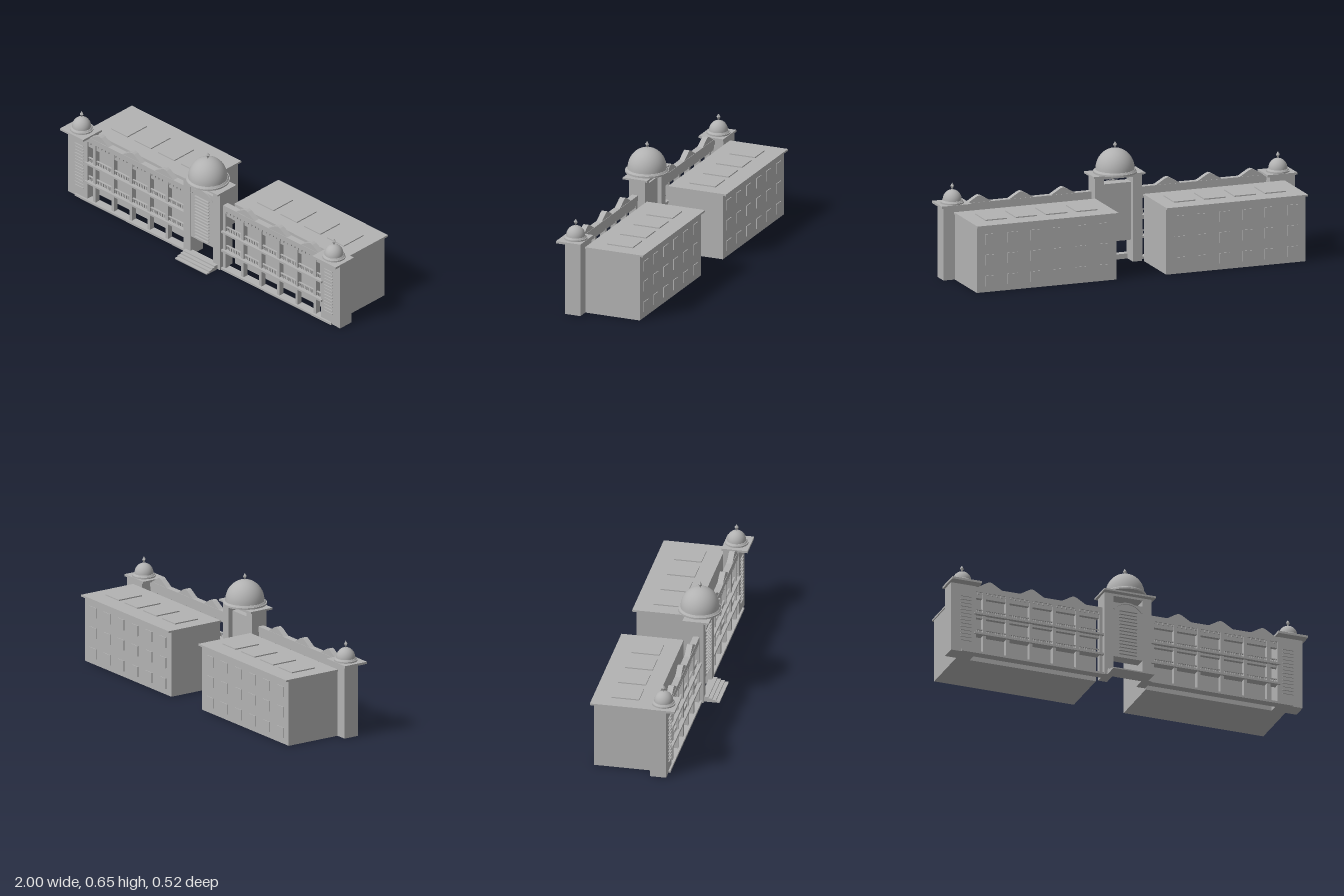
import * as THREE from 'three';

const stone = new THREE.MeshStandardMaterial({ color: 0xb2b2b2 });
stone.name = 'grey stone';

function add(parent, name, geometry) {
  const mesh = new THREE.Mesh(geometry, stone);
  mesh.name = name;
  parent.add(mesh);
  return mesh;
}

// Box given by its limits on each axis
function box(parent, name, x0, x1, y0, y1, z0, z1) {
  const mesh = add(parent, name, new THREE.BoxGeometry(Math.abs(x1 - x0), y1 - y0, z1 - z0));
  mesh.position.set((x0 + x1) / 2, (y0 + y1) / 2, (z0 + z1) / 2);
  return mesh;
}

const lathe = (points, sides) =>
  new THREE.LatheGeometry(points.map(([r, y]) => new THREE.Vector2(r, y)), sides);

// Dome with a stepped ring and a diamond finial
function dome(parent, name, x, y, z, ringR, r, ringH, h) {
  const g = new THREE.Group();
  g.name = name;
  g.position.set(x, y, z);
  parent.add(g);
  const ring = lathe([[0, 0], [ringR, 0], [ringR, ringH * 0.5],
    [ringR - 0.004, ringH * 0.5], [r + 0.002, ringH], [0, ringH]], 40).toNonIndexed();
  ring.computeVertexNormals();
  add(g, 'domeRing', ring);
  const profile = [];
  for (let i = 0; i <= 14; i++) {
    const a = (i / 14) * Math.PI / 2;
    profile.push([r * Math.cos(a), ringH + h * Math.sin(a)]);
  }
  add(g, 'domeShell', lathe(profile, 40));
  const finial = lathe([[0, 0], [0.0115, 0.02], [0, 0.038]], 4).toNonIndexed();
  finial.computeVertexNormals();
  add(g, 'finial', finial).position.y = ringH + h - 0.001;
}

// Rear block with flat roof, skylights and back windows
function rearBlock(parent, s) {
  const g = new THREE.Group();
  g.name = 'rearBlock';
  parent.add(g);
  box(g, 'blockWalls', s * 0.14, s * 0.925, 0, 0.353, -0.239, 0.073);
  box(g, 'roofSlab', s * 0.135, s * 0.93, 0.353, 0.363, -0.26, 0.073);
  for (let i = 0; i < 4; i++) {
    const x = s * (0.275 + i * 0.17);
    box(g, 'skylight', x - 0.06, x + 0.06, 0.363, 0.369, -0.163, -0.015);
  }
  for (const y of [0.032, 0.145, 0.256]) {
    for (let i = 0; i < 6; i++) {
      const x = s * (0.215 + i * 0.127);
      box(g, 'backWindow', x - 0.029, x + 0.029, y, y + 0.056, -0.243, -0.239);
    }
  }
}

// Corner tower with cap, dome and thin front courses
function cornerTower(parent, s) {
  const g = new THREE.Group();
  g.name = 'cornerTower';
  parent.add(g);
  box(g, 'towerShaft', s * 0.848, s * 0.988, 0, 0.388, 0.073, 0.16);
  box(g, 'towerCap', s * 0.832, s, 0.388, 0.4, 0.068, 0.208);
  dome(g, 'towerDome', s * 0.916, 0.4, 0.132, 0.062, 0.05, 0.016, 0.055);
  for (let i = 0; i < 14; i++) {
    const y = 0.065 + i * 0.0195;
    box(g, 'frontCourse', s * 0.875, s * 0.935, y, y + 0.003, 0.16, 0.166);
  }
}

// Open arcade screen: columns, floor ledges, railings and gables
function arcade(parent, s) {
  const g = new THREE.Group();
  g.name = 'arcade';
  parent.add(g);
  const x0 = 0.135, pitch = 0.131;
  box(g, 'baseLedge', s * 0.13, s * 0.93, 0, 0.012, 0.123, 0.17);
  for (const y of [0.112, 0.226]) {
    box(g, 'floorLedge', s * 0.125, s * 0.86, y, y + 0.011, 0.123, 0.17);
  }
  box(g, 'topBeam', s * x0, s * 0.85, 0.338, 0.362, 0.127, 0.15);
  box(g, 'parapet', s * x0, s * 0.85, 0.36, 0.39, 0.123, 0.157);
  for (let i = 0; i <= 5; i++) {
    const x = s * (x0 + 0.009 + i * pitch);
    box(g, 'column', x - 0.009, x + 0.009, 0.012, 0.36, 0.127, 0.157);
  }
  for (let i = 0; i < 6; i++) {
    const a = x0 + 0.018 + i * pitch;
    const b = Math.min(a + pitch - 0.018, 0.848);
    for (const y of [0.123, 0.237]) {
      // Railing and lintel of each upper bay
      box(g, 'handrail', s * a, s * b, y + 0.022, y + 0.026, 0.142, 0.152);
      for (let x = a + 0.008; x < b; x += 0.012) {
        box(g, 'baluster', s * x - 0.002, s * x + 0.002, y, y + 0.022, 0.145, 0.15);
      }
      box(g, 'lintel', s * a, s * b, y + 0.09, y + 0.103, 0.13, 0.15);
    }
  }
  for (let x = x0 + 0.02; x < 0.84; x += 0.026) {
    box(g, 'dentil', s * x - 0.004, s * x + 0.004, 0.348, 0.36, 0.15, 0.157);
  }
  const gable = new THREE.Shape([
    new THREE.Vector2(-0.07, 0), new THREE.Vector2(0.07, 0), new THREE.Vector2(0.015, 0.033),
    new THREE.Vector2(0, 0.038), new THREE.Vector2(-0.015, 0.033)]);
  for (const x of [0.295, 0.53, 0.766]) {
    add(g, 'gable', new THREE.ExtrudeGeometry(gable, { depth: 0.03, bevelEnabled: false }))
      .position.set(s * x, 0.389, 0.125);
  }
}

// Central gate tower with a passage below and an open slot under the cap
function gateTower(parent) {
  const g = new THREE.Group();
  g.name = 'gateTower';
  parent.add(g);
  for (const s of [-1, 1]) {
    box(g, 'gatePier', s * 0.082, s * 0.132, 0, 0.47, 0.085, 0.178);
  }
  box(g, 'gatePanel', -0.082, 0.082, 0.113, 0.425, 0.11, 0.172);
  box(g, 'gateBeam', -0.082, 0.082, 0.457, 0.47, 0.085, 0.178);
  box(g, 'gateCap', -0.145, 0.145, 0.47, 0.48, 0.068, 0.208);
  dome(g, 'gateDome', 0, 0.48, 0.132, 0.1155, 0.103, 0.018, 0.112);

  // Raised arch band
  const arch = new THREE.Shape();
  arch.absarc(0, 0.33, 0.1, 0.61, Math.PI - 0.61, false);
  arch.absarc(0, 0.33, 0.092, Math.PI - 0.61, 0.61, true);
  add(g, 'archBand', new THREE.ExtrudeGeometry(arch,
    { depth: 0.008, bevelEnabled: false, curveSegments: 20 })).position.z = 0.17;

  for (let i = 0; i < 14; i++) {
    const y = 0.13 + i * 0.019;
    box(g, 'frontCourse', -0.05, 0.05, y, y + 0.003, 0.172, 0.183);
  }
  for (let i = 0; i < 4; i++) {
    box(g, 'step', -0.115, 0.115, i * 0.0068, (i + 1) * 0.0068, 0.16, 0.26 - i * 0.02);
  }
}

export function createModel() {
  const model = new THREE.Group();
  model.name = 'domedBuilding';
  for (const s of [-1, 1]) {
    rearBlock(model, s);
    cornerTower(model, s);
    arcade(model, s);
  }
  gateTower(model);
  return model;
}
